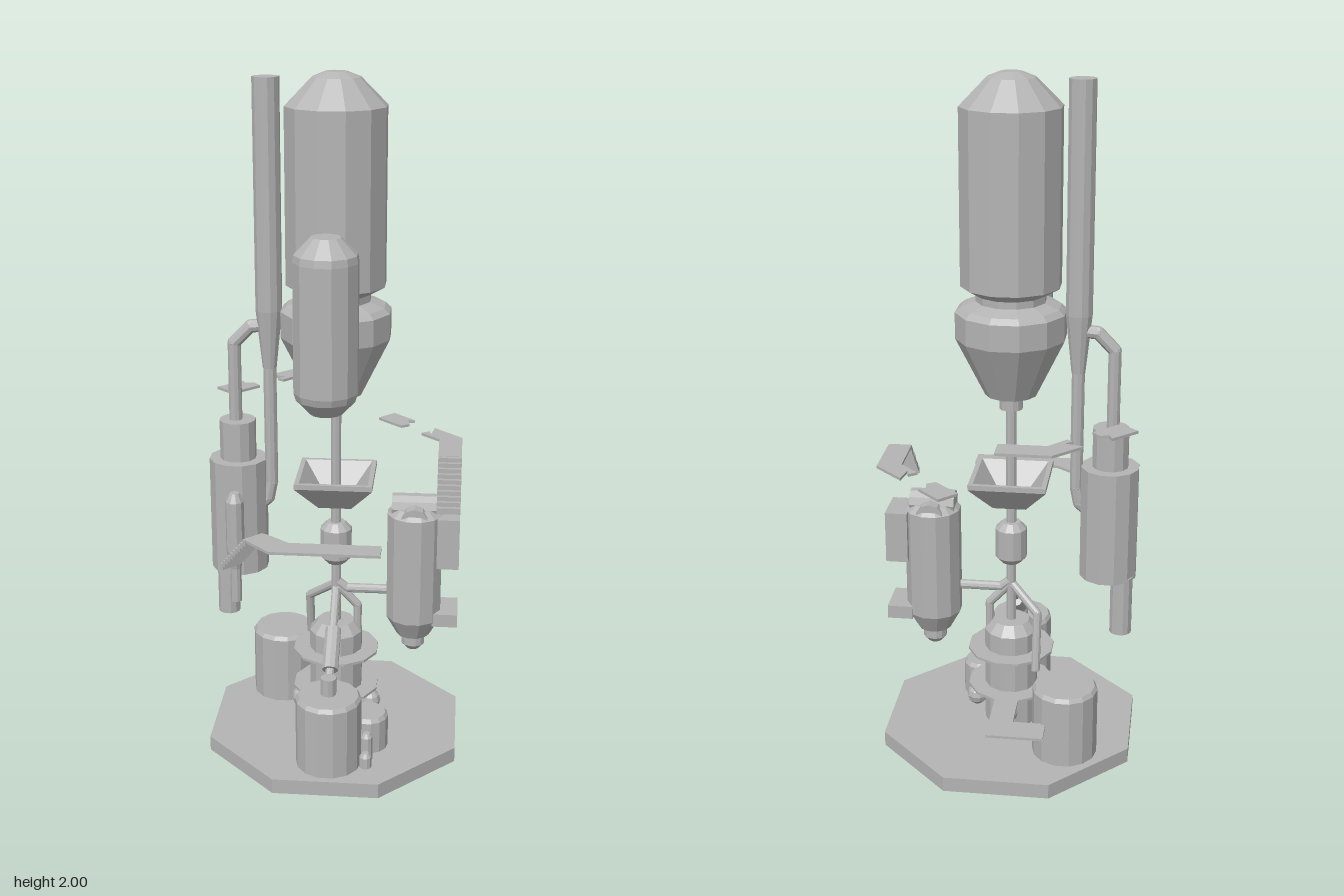
import * as THREE from 'three';

export function createModel() {
  const model = new THREE.Group();
  const grey = new THREE.MeshStandardMaterial({ color: 0xb4b4b4 });
  grey.name = 'plainGrey';
  grey.flatShading = true;
  const CZ = -0.012; // depth of the central axis

  const add = (name, geo, x = 0, y = 0, z = 0) => {
    const m = new THREE.Mesh(geo, grey);
    m.name = name;
    m.position.set(x, y, z);
    model.add(m);
    return m;
  };
  // Turned part: profile of [radius, y] from bottom to top, closed at both ends
  const turned = (name, profile, x, z, sides = 12) => {
    const pts = [[0, profile[0][1]], ...profile, [0, profile[profile.length - 1][1]]];
    const geo = new THREE.LatheGeometry(pts.map(p => new THREE.Vector2(...p)), sides);
    const m = add(name, geo, x, 0, z);
    m.rotation.y = Math.PI / sides;
    return m;
  };
  const box = (name, x0, x1, y0, y1, z0, z1) => add(name,
    new THREE.BoxGeometry(x1 - x0, y1 - y0, z1 - z0), (x0 + x1) / 2, (y0 + y1) / 2, (z0 + z1) / 2);
  // Straight round rod between two points
  const rod = (name, a, b, r) => {
    const A = new THREE.Vector3(...a), B = new THREE.Vector3(...b);
    const m = add(name, new THREE.CylinderGeometry(r, r, A.distanceTo(B), 10));
    m.position.copy(A).lerp(B, 0.5);
    m.quaternion.setFromUnitVectors(new THREE.Vector3(0, 1, 0), B.sub(A).normalize());
    return m;
  };
  // Bent pipe through several points
  const pipe = (name, pts, r) => {
    for (let i = 1; i < pts.length; i++) {
      rod(name, pts[i - 1], pts[i], r);
      if (i > 1) add(name + 'Elbow', new THREE.SphereGeometry(r, 10, 6), ...pts[i - 1]);
    }
  };
  // Thin horizontal plate from [x, z] corners
  const plate = (name, pts, y, t) => {
    const geo = new THREE.ExtrudeGeometry(
      new THREE.Shape(pts.map(([x, z]) => new THREE.Vector2(x, -z))), { depth: t, bevelEnabled: false });
    geo.rotateX(-Math.PI / 2);
    return add(name, geo, 0, y, 0);
  };
  // Flight of treads between two points
  const stairs = (name, a, b, width, n = 10) => {
    const A = new THREE.Vector3(...a), B = new THREE.Vector3(...b);
    const run = Math.hypot(B.x - A.x, B.z - A.z) / n;
    const geo = new THREE.BoxGeometry(width, 0.018, run);
    for (let i = 0; i < n; i++) {
      const m = add(name, geo);
      m.position.copy(A).lerp(B, (i + 0.5) / n);
      m.rotation.y = Math.atan2(B.x - A.x, B.z - A.z);
    }
  };

  // Octagonal base
  turned('base', [[0.399, 0], [0.399, 0.045]], 0, -0.01, 8);

  // Main tank with collar, cone and nozzle
  turned('mainTank', [[0.034, 1.055], [0.034, 1.1], [0.075, 1.1], [0.159, 1.27], [0.159, 1.345],
    [0.143, 1.36], [0.1, 1.375], [0.1, 1.395], [0.143, 1.42], [0.143, 1.91], [0.068, 1.985], [0.03, 2]], 0, CZ);

  // Front hanging tank
  turned('frontTank', [[0.045, 1.14], [0.082, 1.18], [0.088, 1.2], [0.088, 1.55], [0.085, 1.57], [0.04, 1.615]], 0, 0.291);

  // Central column, capsule and pedestal
  rod('column', [0, 0.36, CZ], [0, 1.06, CZ], 0.015);
  turned('capsule', [[0.028, 0.57], [0.047, 0.59], [0.047, 0.68], [0.028, 0.7]], 0, CZ);
  turned('pedestal', [[0.08, 0.045], [0.08, 0.35], [0.055, 0.38]], 0, CZ);
  for (const y of [0.165, 0.288]) turned('ringDeck', [[0.13, y - 0.004], [0.13, y + 0.004]], 0, CZ);
  for (const [x, z] of [[-0.105, CZ], [0.105, CZ], [0, -0.11]])
    add('pedestalValve', new THREE.SphereGeometry(0.032, 10, 6), x, 0.11, z);

  // Square open funnel
  const funnel = new THREE.LatheGeometry([[0.01, 0.76], [0.068, 0.76], [0.159, 0.84], [0.159, 0.855],
    [0.14, 0.855], [0.05, 0.77], [0.01, 0.77]].map(p => new THREE.Vector2(...p)), 4);
  add('funnel', funnel, 0, 0, CZ).rotation.y = Math.PI / 4;

  // Branch pipes below the capsule
  pipe('leftBranch', [[0, 0.5, CZ], [-0.085, 0.43, -0.07], [-0.085, 0.26, -0.11]], 0.013);
  pipe('rightBranch', [[0, 0.5, CZ], [0.065, 0.43, CZ], [0.065, 0.34, CZ]], 0.013);
  pipe('podBranch', [[0, 0.51, CZ], [0.03, 0.485, CZ], [0.17, 0.485, CZ]], 0.014);
  rod('frontBranch', [0, 0.49, CZ], [0, 0.3, 0.21], 0.013);
  rod('frontBranchSleeve', [0, 0.395, 0.085], [0, 0.315, 0.19], 0.024);
  rod('frontDrumStub', [0, 0.26, 0.24], [0, 0.317, 0.24], 0.023);

  // Drums on the base
  const drum = (name, x, z, r, h) =>
    turned(name, [[r, 0.045], [r, h - 0.012], [r - 0.008, h]], x, z, r > 0.05 ? 14 : 10);
  drum('frontDrum', 0, 0.245, 0.096, 0.265);
  drum('backDrum', -0.18, -0.185, 0.096, 0.265);
  drum('smallDrum', 0.108, 0.137, 0.06, 0.155);
  drum('canister', 0.11, 0.222, 0.018, 0.13);
  drum('canister', 0.11, 0.265, 0.018, 0.09);

  // Tall stack with its lower duct
  turned('stack', [[0.02, 1.17], [0.038, 1.34], [0.038, 1.985]], -0.191, CZ);
  pipe('stackDuct', [[-0.191, 1.2, CZ], [-0.19, 0.82, CZ], [-0.2, 0.77, CZ], [-0.26, 0.72, CZ]], 0.019);

  // Left scrubber
  turned('scrubber', [[0.085, 0.55], [0.085, 0.893], [0.053, 0.893], [0.053, 1.01]], -0.288, -0.016);
  turned('scrubberLeg', [[0.033, 0.38], [0.033, 0.56]], -0.331, -0.05);
  pipe('scrubberPipe', [[-0.293, 1, -0.016], [-0.293, 1.24, -0.016], [-0.245, 1.29, -0.016], [-0.19, 1.295, -0.016]], 0.019);
  turned('sideBottle', [[0.016, 0.48], [0.016, 0.585], [0.027, 0.64], [0.027, 0.795], [0.014, 0.82]], -0.286, 0.09, 10);

  // Right pod with domed head, motors and cabinets
  turned('pod', [[0.02, 0.295], [0.035, 0.312], [0.035, 0.345], [0.05, 0.345], [0.083, 0.405],
    [0.083, 0.735], [0.06, 0.755]], 0.233, -0.016);
  rod('podCrossDrum', [0.165, 0.755, -0.018], [0.297, 0.755, -0.018], 0.037);
  rod('podSideDrum', [0.233, 0.73, -0.085], [0.233, 0.73, 0.052], 0.04);
  box('upperCabinet', 0.3, 0.365, 0.58, 0.735, -0.08, 0.04);
  box('lowerCabinet', 0.29, 0.365, 0.392, 0.432, -0.08, 0.04);

  // Low walkway behind the pedestal
  plate('lowWalkway', [[-0.035, -0.12], [0.035, -0.12], [0.035, -0.335], [-0.13, -0.335], [-0.13, -0.255], [-0.035, -0.255]], 0.161, 0.008);

  // Front walkway and stairs
  plate('frontWalkway', [[-0.177, 0.236], [-0.105, 0.292], [0.152, 0.292], [0.152, 0.358], [-0.153, 0.358], [-0.228, 0.284]], 0.751, 0.008);
  stairs('frontStairs', [-0.288, 0.635, 0.18], [-0.203, 0.755, 0.262], 0.07);

  // Right walkway, its broken end and stairs
  plate('rightWalkway', [[0.365, 0], [0.297, 0], [0.297, -0.145], [0.242, -0.197], [0.265, -0.215],
    [0.272, -0.19], [0.281, -0.245], [0.365, -0.163]], 0.911, 0.008);
  plate('brokenDeckRight', [[0.152, -0.378], [0.218, -0.312], [0.198, -0.308], [0.203, -0.275], [0.178, -0.26], [0.105, -0.33]], 0.911, 0.008);
  stairs('rightStairs', [0.331, 0.79, 0.118], [0.331, 0.915, 0], 0.068);

  // Back left high walkway pieces
  plate('backWalkway', [[0, -0.376], [0, -0.307], [-0.135, -0.307], [-0.182, -0.253], [-0.2, -0.265],
    [-0.178, -0.283], [-0.23, -0.298], [-0.153, -0.376]], 1.051, 0.008);
  plate('brokenDeckLeft', [[-0.37, -0.163], [-0.302, -0.23], [-0.292, -0.208], [-0.268, -0.215], [-0.246, -0.188], [-0.317, -0.116]], 1.051, 0.008);

  return model;
}
